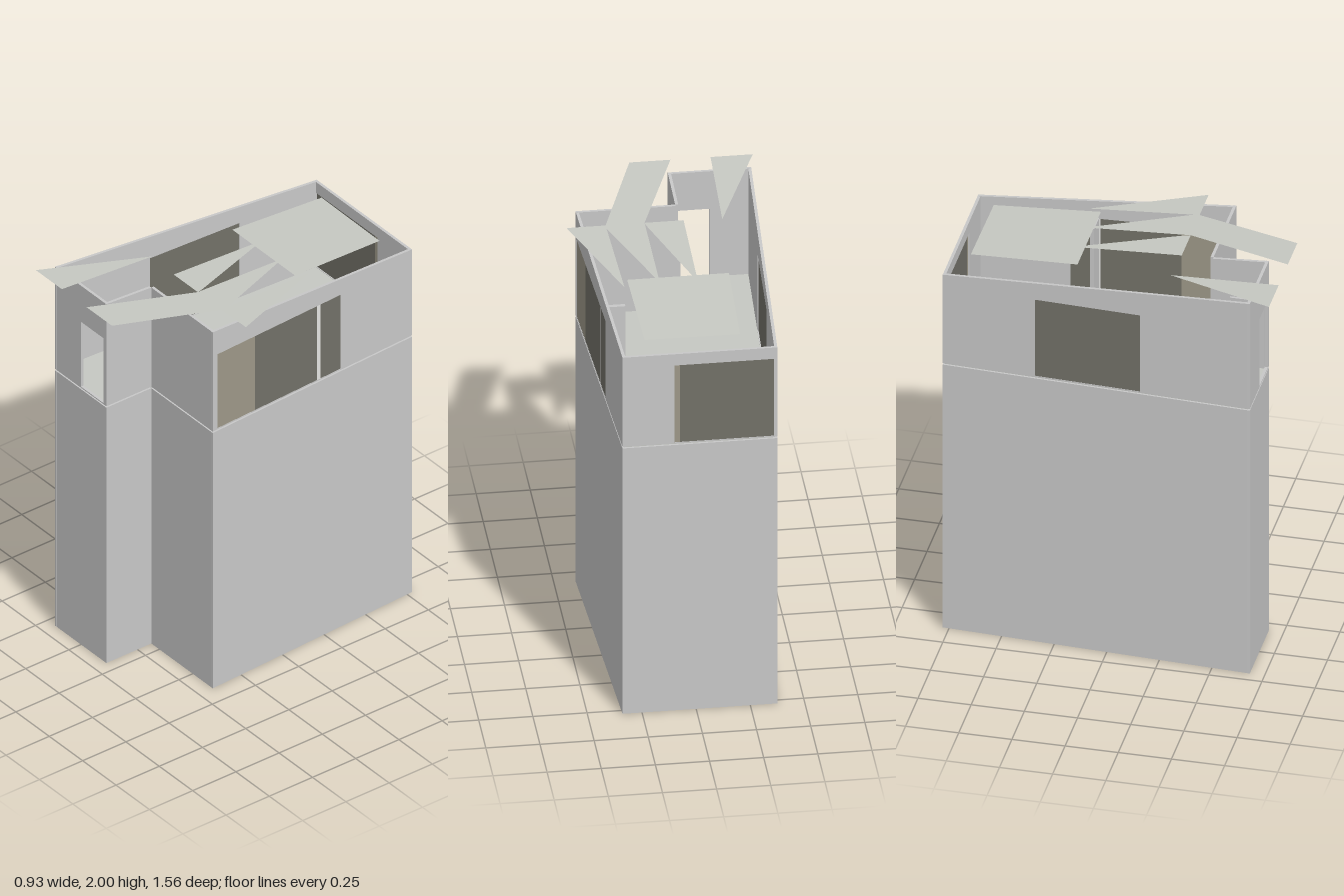
import * as THREE from 'three';

const mat = (name, color, side = THREE.FrontSide) => {
  const m = new THREE.MeshStandardMaterial({ color, side });
  m.name = name;
  return m;
};

// Plan corners (x, z), walked so that each wall's local +z faces outwards
const PLAN = [[-0.445, 0.68], [-0.06, 0.68], [-0.06, 0.42], [0.4, 0.42], [0.34, -0.78], [-0.375, -0.78]];
const T = 0.014; // wall thickness
const SEAM = 1.42, EAVE = 1.9;
const slopeTop = z => EAVE + ((z + 0.78) / 1.46) * 0.09;
const roofY = z => 1.961 + 0.05 * z;

export function createModel() {
  const model = new THREE.Group();
  const wallMat = mat('wall grey', 0xc8c8c8);
  const slabMat = mat('floor grey', 0xc6c8c2);
  const roofMat = mat('roof sheet grey', 0xc6c8c2, THREE.DoubleSide);
  const tanGlass = mat('tan glass', 0x9d9888);
  const darkGlass = mat('dark glass', 0x727168);
  const paleMat = mat('pale mullion', 0xe4e4e2);

  const add = (parent, name, geometry, material) => {
    const mesh = new THREE.Mesh(geometry, material);
    mesh.name = name;
    parent.add(mesh);
    return mesh;
  };

  // Frame for one wall: local x along the wall, y up, z outwards
  const wallFrame = (i) => {
    const [ax, az] = PLAN[i], [bx, bz] = PLAN[(i + 1) % PLAN.length];
    const g = new THREE.Group();
    g.position.set(ax, 0, az);
    g.rotation.y = Math.atan2(-(bz - az), bx - ax);
    g.userData.length = Math.hypot(bx - ax, bz - az);
    return g;
  };

  // Upright slab from y0 up to tops ya..yb, with rectangular holes [u0, u1, v0, v1]
  const slab = (len, y0, ya, yb, holes = []) => {
    const s = new THREE.Shape([[0, y0], [len, y0], [len, yb], [0, ya]].map(p => new THREE.Vector2(...p)));
    for (const [u0, u1, v0, v1] of holes) {
      s.holes.push(new THREE.Path([[u0, v0], [u0, v1], [u1, v1], [u1, v0]].map(p => new THREE.Vector2(...p))));
    }
    return new THREE.ExtrudeGeometry(s, { depth: T, bevelEnabled: false }).translate(0, 0, -T);
  };

  // Openings and panes per wall index
  const holes = {
    0: [[0.195, 0.365, 1.43, 1.79]],
    3: [[0.03, 0.77, 1.43, 1.84]],
    4: [[0.24, 0.7, 1.43, 1.84]],
    5: [[0.44, 0.94, 1.43, 1.84]],
  };
  const panes = {
    3: [[0.03, 0.255, tanGlass], [0.255, 0.63, darkGlass], [0.63, 0.65, paleMat], [0.65, 0.77, darkGlass]],
    4: [[0.24, 0.265, tanGlass], [0.265, 0.7, darkGlass]],
    5: [[0.44, 0.94, darkGlass]],
  };

  // Lower walls, upper walls, sloping parapet and glazing
  PLAN.forEach(([, az], i) => {
    const bz = PLAN[(i + 1) % PLAN.length][1];
    const g = wallFrame(i);
    g.name = 'wallSide' + (i + 1);
    const len = g.userData.length;
    add(g, 'lowerWall', slab(len, 0, SEAM - 0.004, SEAM - 0.004), wallMat);
    add(g, 'upperWall', slab(len, SEAM + 0.004, EAVE, EAVE, holes[i]), wallMat);
    if (i !== 4) add(g, 'parapet', slab(len, EAVE, slopeTop(az), slopeTop(bz)), wallMat);
    for (const [u0, u1, m] of panes[i] || []) {
      const pane = add(g, 'windowPane', new THREE.BoxGeometry(u1 - u0, 0.41, 0.008), m);
      pane.position.set((u0 + u1) / 2, 1.635, -0.005);
    }
    model.add(g);
  });

  // Upper floor, set just inside the walls; the underside stays open
  const floorShape = new THREE.Shape(
    [[-0.435, 0.67], [-0.07, 0.67], [-0.07, 0.41], [0.39, 0.41], [0.331, -0.77], [-0.366, -0.77]]
      .map(([x, z]) => new THREE.Vector2(x, -z)));
  add(model, 'upperFloor',
    new THREE.ExtrudeGeometry(floorShape, { depth: 0.016, bevelEnabled: false })
      .rotateX(-Math.PI / 2).translate(0, SEAM - 0.008, 0), slabMat);

  // Short room divider and open door leaf
  add(model, 'divider', new THREE.BoxGeometry(0.1, 0.42, 0.02), wallMat).position.set(0.305, 1.635, -0.225);
  add(model, 'doorLeaf', new THREE.BoxGeometry(0.012, 0.36, 0.16), wallMat).position.set(-0.09, 1.61, 0.585);

  // Cut roof sheets, all lying in one gently sloping plane
  const sheets = {
    backRoofSheet: [[-0.215, -0.685], [0.225, -0.68], [0.24, -0.18], [-0.23, -0.18]],
    innerShard: [[-0.08, -0.18], [-0.06, -0.18], [0.095, 0.25], [0.1, 0.275], [-0.08, 0.275]],
    middleShard: [[0.095, -0.18], [0.11, -0.18], [0.28, 0.25], [0.28, 0.275], [0.1, 0.275]],
    outerShard: [[0.26, -0.24], [0.46, 0.275], [0.28, 0.275]],
    frontStrip: [[0.1, 0.275], [0.28, 0.275], [0.105, 0.775], [-0.085, 0.775]],
    cornerShard: [[-0.257, 0.262], [-0.27, 0.775], [-0.465, 0.775]],
  };
  for (const [name, pts] of Object.entries(sheets)) {
    const geo = new THREE.ShapeGeometry(new THREE.Shape(pts.map(([x, z]) => new THREE.Vector2(x, -z))));
    geo.rotateX(-Math.PI / 2);
    const p = geo.attributes.position;
    for (let i = 0; i < p.count; i++) p.setY(i, roofY(p.getZ(i)));
    geo.computeVertexNormals();
    add(model, name, geo, roofMat);
  }
  return model;
}
